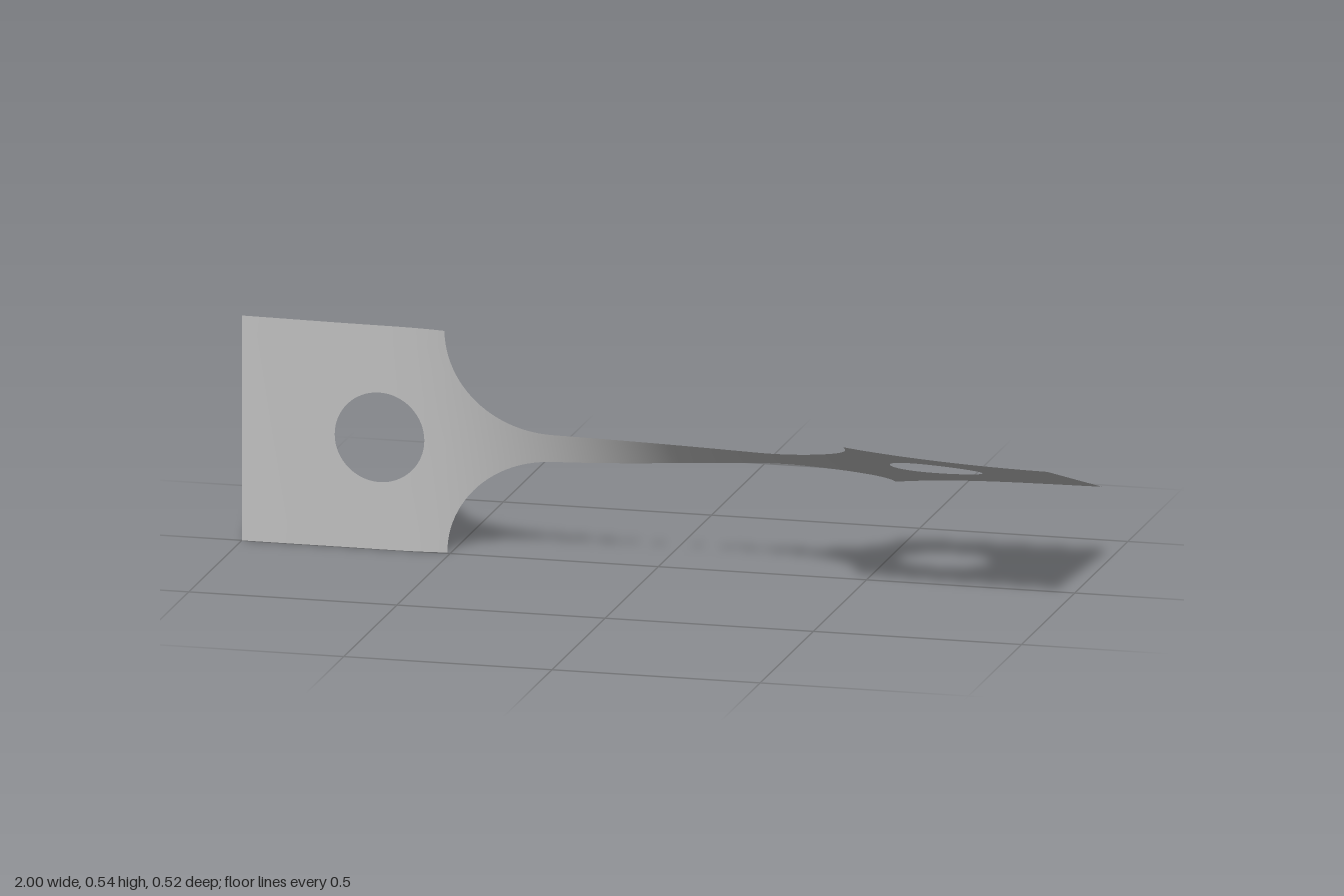
import * as THREE from 'three';
import { mergeVertices } from 'three/addons/utils/BufferGeometryUtils.js';

const HALF = 0.27, NECK = 0.036;            // half widths of the plates and the neck
const CORNER = 0.508, FILLET_END = 0.25;    // where the fillets begin and end along x
const HOLE_X = 0.668, HOLE_R = 0.108;
const { smoothstep, degToRad } = THREE.MathUtils;

// Outline half width and hole half height at a station x
function outline(x) {
  const a = Math.abs(x);
  if (a >= CORNER - 1e-6) return HALF;
  if (a <= FILLET_END) return NECK;
  const t = (a - FILLET_END) / (CORNER - FILLET_END);
  return HALF - (HALF - NECK) * Math.sqrt(Math.max(0, 1 - t * t));
}
function hole(x) {
  const d = Math.abs(x) - HOLE_X;
  return Math.sqrt(Math.max(0, HOLE_R * HOLE_R - d * d));
}

// Twist about the long axis, from upright on the right to nearly flat on the left
function place(x, v) {
  const angle = degToRad(36.2 + 36.7 * Math.tanh(2.5 * x) - 2 * Math.exp(-(((x + 0.55) / 0.15) ** 2)));
  const cy = 0.271 + 0.009 * smoothstep(x, -0.3, 0.3) - 0.006 * smoothstep(x, 0.5, 1);
  const cz = 0.009 * (1 - x * x) * (1 - 0.4 * x);
  return [x, cy + v * Math.cos(angle), cz + v * Math.sin(angle)];
}

// Stations along x, packed closely where the curves turn steeply
function stations() {
  const half = [];
  const span = (a, b, n, ease) => {
    for (let i = 0; i < n; i++) half.push(a + (b - a) * ease(i / n));
  };
  const linear = t => t;
  span(0, FILLET_END, 16, linear);
  span(FILLET_END, CORNER, 24, t => Math.sin(t * Math.PI / 2));
  span(CORNER, HOLE_X - HOLE_R, 3, linear);
  span(HOLE_X - HOLE_R, HOLE_X + HOLE_R, 32, t => (1 - Math.cos(t * Math.PI)) / 2);
  span(HOLE_X + HOLE_R, 1, 8, linear);
  half.push(1);
  return [...half.slice(1).reverse().map(x => -x), ...half];
}

function twistedSheet() {
  const xs = stations(), rows = 6, pos = [], idx = [];
  // Lower and upper halves meet on the axis and part around the holes
  for (const side of [-1, 1]) {
    const base = pos.length / 3;
    xs.forEach((x, i) => {
      const inner = side * hole(x), outer = side * outline(x);
      const [lo, hi] = side < 0 ? [outer, inner] : [inner, outer];
      for (let j = 0; j <= rows; j++) pos.push(...place(x, lo + (hi - lo) * j / rows));
      if (i === 0) return;
      for (let j = 0; j < rows; j++) {
        const b = base + i * (rows + 1) + j, a = b - rows - 1;
        idx.push(a, b, b + 1, a, b + 1, a + 1);
      }
    });
  }
  let geo = new THREE.BufferGeometry();
  geo.setAttribute('position', new THREE.Float32BufferAttribute(pos, 3));
  geo.setIndex(idx);
  geo = mergeVertices(geo, 1e-5);
  geo.computeVertexNormals();
  return geo;
}

export function createModel() {
  const steel = new THREE.MeshStandardMaterial({ color: 0xc0c0c0, side: THREE.DoubleSide });
  steel.name = 'light grey steel';
  const group = new THREE.Group();
  group.name = 'twistedStrap';
  const sheet = new THREE.Mesh(twistedSheet(), steel);
  sheet.name = 'twistedSheet';
  group.add(sheet);
  return group;
}
